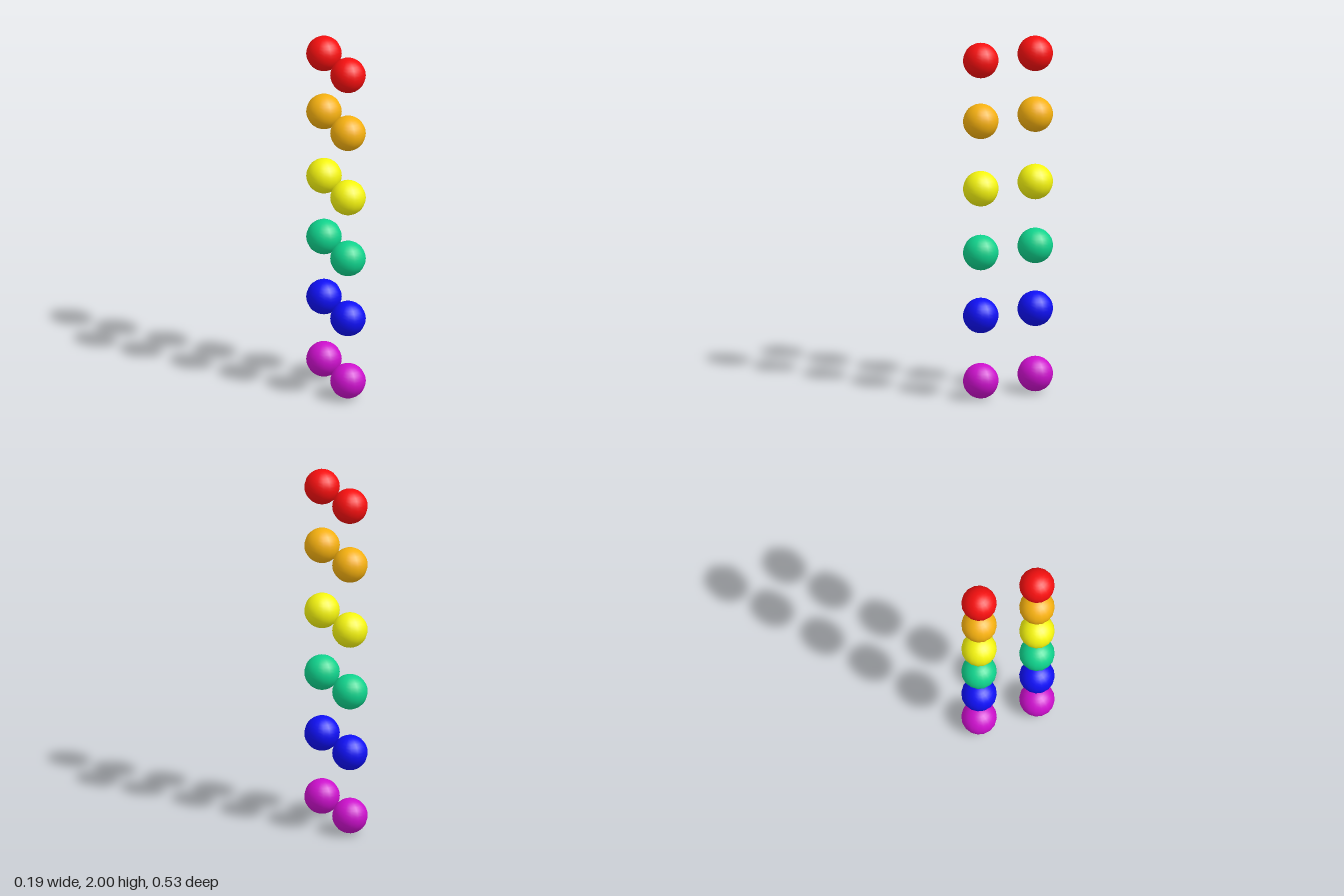
import * as THREE from 'three';

// Two matching columns of six coloured balls, bottom to top
const BALLS = [
  ['purpleBall', 0.097, 0xcc0fcc],
  ['blueBall', 0.465, 0x0f0ff5],
  ['greenBall', 0.82, 0x0fd28c],
  ['yellowBall', 1.18, 0xf5f50f],
  ['orangeBall', 1.56, 0xf5b00f],
  ['redBall', 1.903, 0xf50f0f],
];
const RADIUS = 0.097;
const COLUMN_Z = 0.166;

export function createModel() {
  const model = new THREE.Group();
  model.name = 'ballColumns';
  const ball = new THREE.SphereGeometry(RADIUS, 16, 16);
  const materials = BALLS.map(([, , color]) => new THREE.MeshStandardMaterial({ color }));

  for (const [side, z] of [['front', COLUMN_Z], ['back', -COLUMN_Z]]) {
    const column = new THREE.Group();
    column.name = side + 'Column';
    column.position.z = z;
    BALLS.forEach(([name, y], i) => {
      const mesh = new THREE.Mesh(ball, materials[i]);
      mesh.name = name;
      mesh.position.y = y;
      column.add(mesh);
    });
    model.add(column);
  }
  return model;
}
